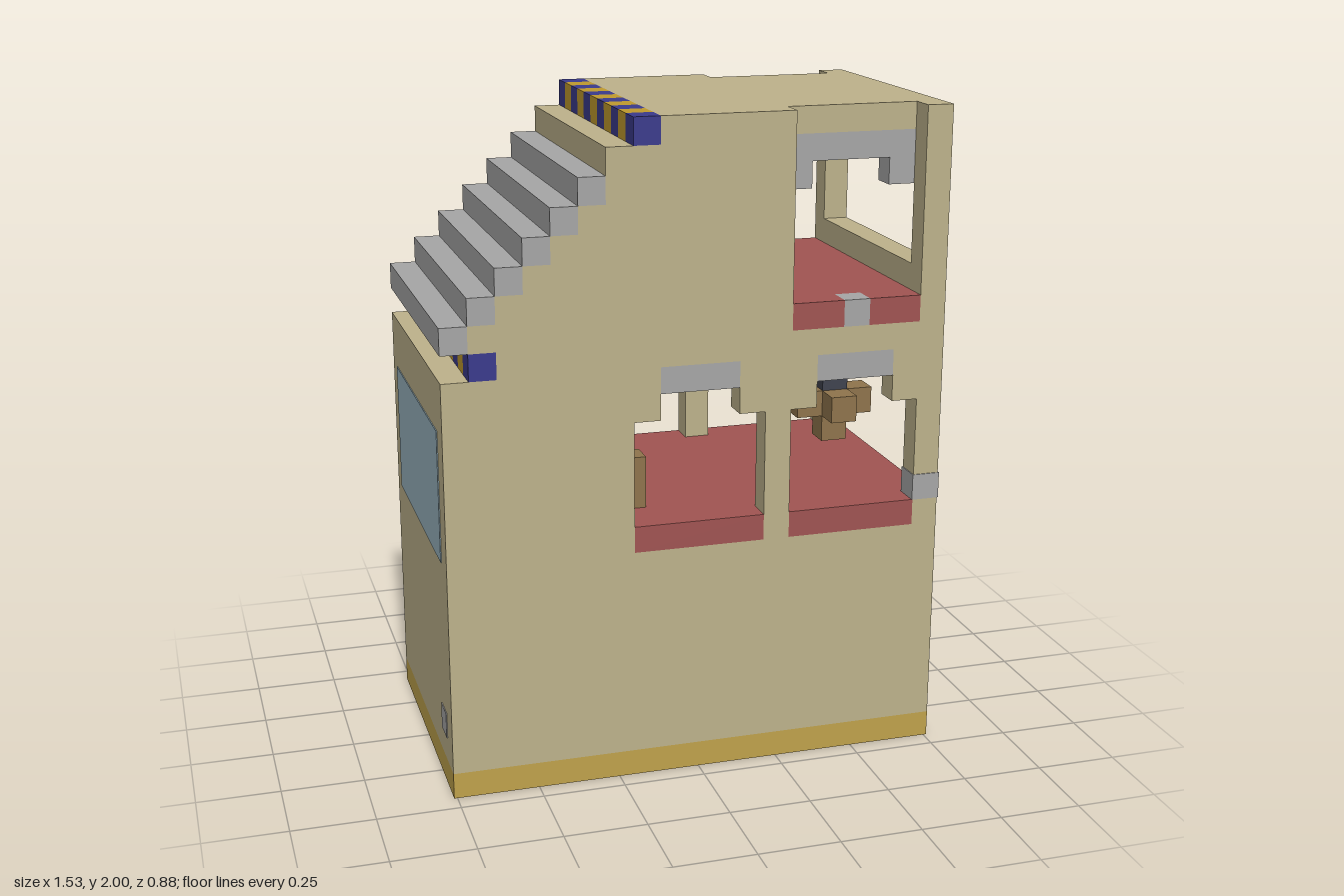
import * as THREE from 'three';

const mat = (name, color) => {
  const m = new THREE.MeshStandardMaterial({ color });
  m.name = name;
  return m;
};

export function createModel() {
  const tan = mat('tan wall', 0xbdb28b);
  const gold = mat('gold base', 0xbfa24c);
  const grey = mat('light grey', 0xa6a6a6);
  const blue = mat('stripe blue', 0x3a3a8c);
  const yellow = mat('stripe yellow', 0xc09a2e);
  const scarlet = mat('bright red', 0xaa2010);
  const rose = mat('floor red', 0xa05452);
  const brown = mat('brown wood', 0x8f744c);
  const slate = mat('dark slate', 0x3f434f);
  const glass = mat('window glass', 0x98b3bf);

  const U = 0.08; // block size
  const model = new THREE.Group();
  model.name = 'house';

  const add = (name, geometry, material) => {
    const mesh = new THREE.Mesh(geometry, material);
    mesh.name = name;
    model.add(mesh);
    return mesh;
  };
  // Box given by its limits on each axis
  const box = (name, material, x0, x1, y0, y1, z0, z1) =>
    add(name, new THREE.BoxGeometry(x1 - x0, y1 - y0, z1 - z0), material)
      .position.set((x0 + x1) / 2, (y0 + y1) / 2, (z0 + z1) / 2);
  // Same box on the front and back sides
  const boxPair = (name, material, x0, x1, y0, y1, z0, z1) => {
    box(name, material, x0, x1, y0, y1, z0, z1);
    box(name, material, x0, x1, y0, y1, -z1, -z0);
  };
  const points = (list) => list.map(([x, y]) => new THREE.Vector2(x, y));
  const extrude = (name, outline, holes, z0, z1) => {
    const shape = new THREE.Shape(points(outline));
    holes.forEach((h) => shape.holes.push(new THREE.Path(points(h))));
    const geometry = new THREE.ExtrudeGeometry(shape, { depth: z1 - z0, bevelEnabled: false });
    add(name, geometry.translate(0, 0, z0), tan);
  };
  // Row of alternating blocks running along z
  const stripes = (name, x0, y0, z0, count, first, second) => {
    for (let i = 0; i < count; i++) {
      const z = z0 + i * U;
      box(name, i % 2 ? second : first, x0, x0 + U, y0, y0 + U, z, z + U);
    }
  };

  // Stepped edge shared by the walls and core, from roof down to the ledge
  const slope = [[-0.12, 2], [-0.12, 1.92], [-0.28, 1.92], [-0.28, 1.76]];
  for (let i = 1; i <= 5; i++) {
    const x = -0.28 - i * U, y = 1.84 - i * U;
    slope.push([x, y], [x, y - U]);
  }
  slope.push([-0.60, 1.36], [-0.60, 1.28], [-0.76, 1.28], [-0.76, U]);

  // Front and back walls with two windows and a balcony recess
  const wall = [[0.76, U], [0.76, 2], [0.68, 2], [0.68, 1.36], [0.28, 1.36], [0.28, 2], ...slope];
  const windowAt = (c) => [
    [c - 0.2, 0.72], [c + 0.2, 0.72], [c + 0.2, 1.12], [c + 0.12, 1.12],
    [c + 0.12, 1.28], [c - 0.12, 1.28], [c - 0.12, 1.12], [c - 0.2, 1.12],
  ];
  const windows = [0, 0.48];
  extrude('frontWall', wall, windows.map(windowAt), 0.36, 0.44);
  extrude('backWall', wall, windows.map(windowAt), -0.44, -0.36);

  // Core with the two rooms cut out
  const core = [
    [0.68, U], [0.68, 0.72], [-0.2, 0.72], [-0.2, 1.28], [0.68, 1.28], [0.68, 1.36],
    [0.28, 1.36], [0.28, 1.92], [0.68, 1.92], [0.68, 2], ...slope,
  ];
  extrude('core', core, [], -0.36, 0.36);

  // Base
  box('base', gold, -0.76, 0.76, 0, U, -0.44, 0.44);

  // End wall, with an opening into each room
  box('endWallLower', tan, 0.68, 0.76, U, 0.64, -0.36, 0.36);
  box('endRedBand', scarlet, 0.68, 0.76, 0.64, 0.72, -0.36, 0.36);
  boxPair('lowerOpeningCorner', tan, 0.68, 0.76, 1.12, 1.28, 0.28, 0.36);
  stripes('endStripe', 0.68, 1.28, -0.36, 9, yellow, blue);
  box('endWallMiddle', tan, 0.68, 0.76, 1.36, 1.52, -0.36, 0.36);
  boxPair('upperOpeningCorner', tan, 0.68, 0.76, 1.76, 1.92, 0.28, 0.36);
  box('endWallTop', tan, 0.68, 0.76, 1.92, 2, -0.36, 0.36);

  // Lower room floor, ceiling, sills and lintels
  box('lowerFloor', rose, -0.2, 0.76, 0.72, 0.8, -0.36, 0.36);
  box('lowerCeiling', grey, -0.2, 0.68, 1.2, 1.28, -0.36, 0.36);
  box('lowerEndLintel', grey, 0.68, 0.76, 1.2, 1.28, -0.28, 0.28);
  for (const c of windows) {
    boxPair('windowSill', rose, c - 0.2, c + 0.2, 0.72, 0.8, 0.36, 0.44);
    boxPair('windowLintel', grey, c - 0.12, c + 0.12, 1.2, 1.28, 0.36, 0.44);
  }

  // Upper room floor, balcony edges, ceiling and brackets
  box('upperFloor', rose, 0.28, 0.68, 1.36, 1.44, -0.36, 0.36);
  boxPair('balconyEdge', rose, 0.28, 0.44, 1.36, 1.44, 0.36, 0.44);
  boxPair('balconyEdge', rose, 0.52, 0.68, 1.36, 1.44, 0.36, 0.44);
  boxPair('balconyBlock', grey, 0.44, 0.52, 1.36, 1.44, 0.36, 0.44);
  box('upperCeiling', grey, 0.28, 0.68, 1.84, 1.92, -0.36, 0.36);
  box('upperEndLintel', grey, 0.68, 0.76, 1.84, 1.92, -0.28, 0.28);
  for (const x of [0.28, 0.6]) boxPair('ceilingBracket', grey, x, x + U, 1.76, 1.84, 0.28, 0.36);

  // Stair-like roof and coloured edging
  for (let i = 0; i < 6; i++) {
    const x = -0.76 + i * U, y = 1.36 + i * U;
    box('roofStep', grey, x, x + U, y, y + U, -0.44, 0.44);
  }
  stripes('roofStripe', -0.2, 1.92, -0.44, 11, blue, yellow);
  stripes('ledgeStripe', -0.68, 1.28, -0.44, 11, blue, yellow);

  // Hanging lamps
  for (const z of [-0.24, 0.24]) {
    box('lampHook', slate, 0.44, 0.52, 1.12, 1.2, z - 0.04, z + 0.04);
    box('lampArms', brown, 0.36, 0.6, 1.04, 1.12, z - 0.04, z + 0.04);
    box('lampCrossArm', brown, 0.44, 0.52, 1.04, 1.12, z + 0.04, z + 0.12);
    box('lampCrossArm', brown, 0.44, 0.52, 1.04, 1.12, z - 0.12, z - 0.04);
    box('lampStem', brown, 0.44, 0.52, 0.96, 1.04, z - 0.04, z + 0.04);
  }

  // Benches against the inner wall
  boxPair('benchBack', brown, -0.2, -0.12, 0.8, 0.96, 0.2, 0.28);
  box('benchSeat', brown, -0.2, -0.12, 0.8, 0.88, 0.04, 0.2);
  box('benchSeat', brown, -0.2, -0.12, 0.8, 0.88, -0.2, -0.12);

  // Corner block, glass pane and small plate
  box('cornerBlock', grey, 0.677, 0.763, 0.8, 0.88, 0.357, 0.443);
  box('glassPane', glass, -0.763, -0.757, 0.72, 1.12, -0.36, 0.36);
  box('smallPlate', grey, -0.763, -0.757, 0.16, 0.24, 0.28, 0.36);

  return model;
}
